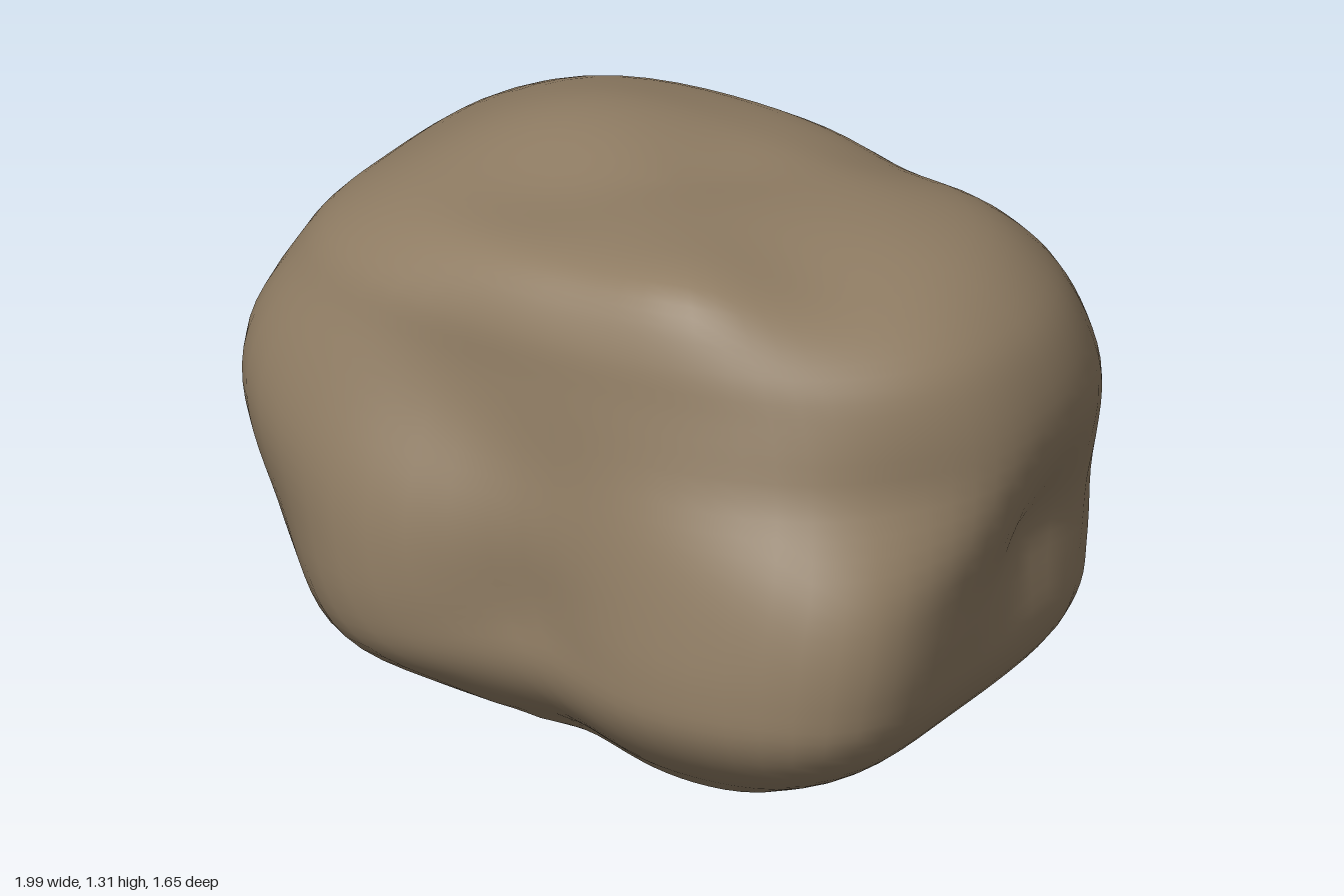
import * as THREE from 'three';
import { mergeVertices } from 'three/addons/utils/BufferGeometryUtils.js';

// Cross-sections from top to bottom: height, left x, right x, front z, back z
const SECTIONS = [
  [1.28, 0.0, 0.0, 0.05, 0.05],
  [1.28, -0.24, 0.33, 0.3, -0.18],
  [1.255, -0.48, 0.6, 0.49, -0.36],
  [1.2, -0.68, 0.77, 0.58, -0.55],
  [1.1, -0.86, 0.9, 0.64, -0.67],
  [0.98, -0.93, 0.97, 0.67, -0.75],
  [0.82, -0.97, 1.01, 0.71, -0.81],
  [0.66, -0.97, 1.0, 0.75, -0.815],
  [0.5, -0.94, 0.96, 0.78, -0.8],
  [0.37, -0.88, 0.94, 0.8, -0.76],
  [0.26, -0.76, 0.92, 0.8, -0.72],
  [0.16, -0.56, 0.86, 0.75, -0.66],
  [0.07, -0.38, 0.73, 0.66, -0.58],
  [0.01, -0.18, 0.55, 0.54, -0.42],
  [0.0, 0.18, 0.18, 0.1, 0.1],
];

// Swellings and dents: x, y, z, amount, radius
const LUMPS = [
  [0.0, 0.36, 0.85, -0.09, 0.23],
  [0.08, 0.1, 0.6, -0.05, 0.18],
  [0.03, 0.72, 0.75, -0.03, 0.22],
  [0.42, 0.32, 0.8, 0.025, 0.3],
  [0.9, 0.42, 0.58, 0.03, 0.25],
  [0.92, 0.75, 0.42, -0.04, 0.22],
  [-0.38, 0.52, 0.75, 0.04, 0.28],
  [-0.48, 0.25, 0.62, 0.06, 0.24],
  [-0.3, 0.9, 0.7, -0.035, 0.22],
  [0.97, 0.53, -0.1, -0.08, 0.22],
  [0.88, 0.45, -0.42, 0.02, 0.2],
  [0.3, 1.27, 0.47, 0.03, 0.18],
  [0.62, 1.2, 0.32, -0.05, 0.24],
  [-0.3, 1.27, 0.25, -0.04, 0.25],
  [-0.38, 1.28, -0.1, 0.045, 0.3],
  [0.05, 1.28, -0.12, -0.03, 0.22],
  [0.3, 1.17, -0.55, -0.05, 0.25],
  [-0.98, 0.8, 0.36, 0.035, 0.22],
  [-0.88, 0.42, 0.0, -0.09, 0.26],
  [0.1, 0.35, -0.74, -0.05, 0.22],
  [-0.3, 0.7, -0.8, 0.02, 0.25],
];

const { lerp, smoothstep } = THREE.MathUtils;

// Squareness of a section's corner at height y
function squareness(right, front, y) {
  if (front && right) return 4.5 - 2.1 * smoothstep(y, 0.45, 0.85);
  if (front) return 2.5 + 1.5 * Math.exp(-Math.pow((y - 0.75) / 0.25, 2));
  if (right) return 2.9 - 0.75 * smoothstep(y, 0.1, 0.6);
  return 2.8 + 1.2 * smoothstep(y, 0.4, 0.9);
}

function createRockGeometry() {
  const curve = (a, b) => new THREE.CatmullRomCurve3(
    SECTIONS.map((s) => new THREE.Vector3(s[a], s[0], s[b])), false, 'catmullrom', 0.5);
  const xCurve = curve(1, 2);
  const zCurve = curve(3, 4);
  const around = 72, rows = 56;

  const ball = new THREE.SphereGeometry(1, around, rows);
  ball.deleteAttribute('uv');
  ball.deleteAttribute('normal');
  const pos = ball.attributes.position;
  const p = new THREE.Vector3(), lump = new THREE.Vector3(), out = new THREE.Vector3();
  const middle = new THREE.Vector3(0, 0.65, 0);

  for (let i = 0; i < pos.count; i++) {
    const t = Math.floor(i / (around + 1)) / rows;
    const angle = Math.atan2(pos.getZ(i), pos.getX(i));
    const c = Math.cos(angle), s = Math.sin(angle);
    const xs = xCurve.getPoint(t), zs = zCurve.getPoint(t);

    const n = squareness(c > 0, s > 0, xs.y);
    const r = Math.pow(Math.pow(Math.abs(c), n) + Math.pow(Math.abs(s), n), -1 / n);
    const cx = lerp(xs.x, xs.z, 0.58 - 0.08 * xs.y);
    const cz = lerp(zs.z, zs.x, 0.58 - 0.04 * xs.y);
    p.set(
      cx + c * r * (c > 0 ? xs.z - cx : cx - xs.x),
      xs.y,
      cz + s * r * (s > 0 ? zs.x - cz : cz - zs.z));

    // Push the surface in and out around each lump
    out.copy(p).sub(middle).normalize();
    let push = 0;
    for (const [x, y, z, amount, radius] of LUMPS) {
      push += amount * Math.exp(-p.distanceToSquared(lump.set(x, y, z)) / (radius * radius));
    }
    p.addScaledVector(out, push);
    pos.setXYZ(i, p.x, p.y, p.z);
  }

  const rock = mergeVertices(ball, 1e-5);
  rock.computeVertexNormals();
  return rock;
}

export function createModel() {
  const group = new THREE.Group();
  group.name = 'boulder';
  const stone = new THREE.MeshStandardMaterial({ color: 0x8f7c63 });
  stone.name = 'brown stone';
  const rock = new THREE.Mesh(createRockGeometry(), stone);
  rock.name = 'rock';
  group.add(rock);
  return group;
}
